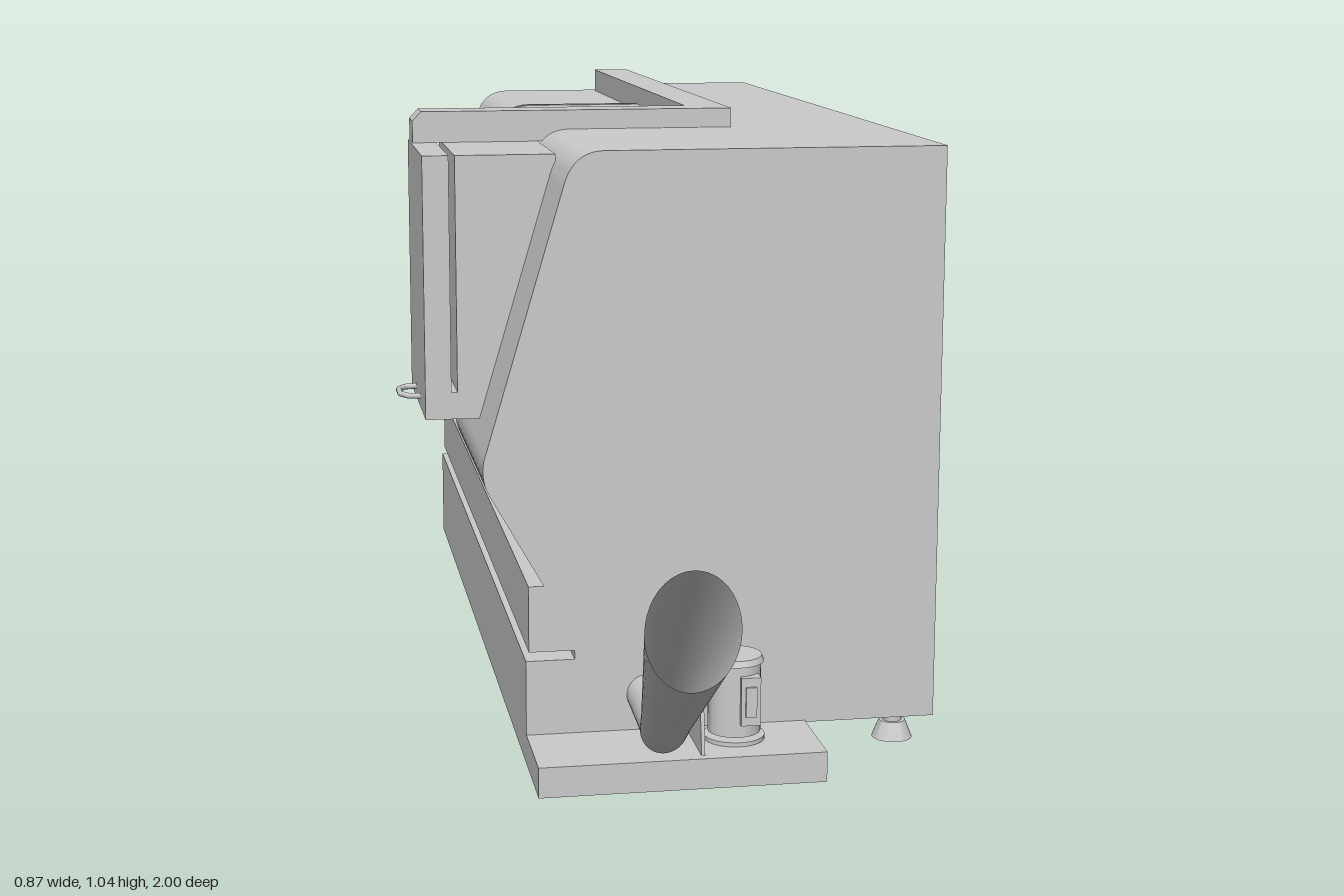
import * as THREE from 'three';
import { toCreasedNormals } from 'three/addons/utils/BufferGeometryUtils.js';

const material = new THREE.MeshStandardMaterial({ color: 0xcccccc, side: THREE.DoubleSide });

export function createModel() {
  const root = new THREE.Group();

  const add = (name, geometry, x = 0, y = 0, z = 0, parent = root) => {
    const mesh = new THREE.Mesh(geometry, material);
    mesh.name = name;
    mesh.position.set(x, y, z);
    parent.add(mesh);
    return mesh;
  };
  // Box given by its limits on each axis
  const box = (name, x0, x1, y0, y1, z0, z1) => add(name,
    new THREE.BoxGeometry(x1 - x0, y1 - y0, z1 - z0), (x0 + x1) / 2, (y0 + y1) / 2, (z0 + z1) / 2);
  const cylinder = (name, rTop, rBottom, y0, y1, x, z, sides = 32) => add(name,
    toCreasedNormals(new THREE.CylinderGeometry(rTop, rBottom, y1 - y0, sides), 0.6), x, (y0 + y1) / 2, z);
  const prism = (name, shape, z0, z1) => add(name, toCreasedNormals(
    new THREE.ExtrudeGeometry(shape, { depth: z1 - z0, bevelEnabled: false, curveSegments: 10 }), 0.5), 0, 0, z0);
  const tube = (name, points, r) => add(name, new THREE.TubeGeometry(
    new THREE.CatmullRomCurve3(points.map((p) => new THREE.Vector3(...p)), false, 'catmullrom', 0.1), 40, r, 10));
  const polygon = (points) => new THREE.Shape(points.map((p) => new THREE.Vector2(...p)));

  // Housing outline; d sets the slanted operator side inwards
  const housing = (d, bottom) => {
    const s = new THREE.Shape(), top = 1.005 - d * 0.5;
    s.moveTo(0.43, bottom);
    s.lineTo(0.43, 1.005);
    if (d > 0) s.lineTo(0.125, 1.005);
    s.lineTo(0.125, top);
    s.lineTo(-0.125 + d, top);
    s.quadraticCurveTo(-0.175 + d, top, -0.19 + d, 0.95);
    s.lineTo(-0.315 + d, 0.53);
    s.quadraticCurveTo(-0.33 + d, 0.49, -0.31 + d, 0.455);
    s.lineTo(-0.225, 0.305);
    s.lineTo(-0.25, 0.305);
    s.lineTo(-0.25, 0.195);
    s.lineTo(-0.175, 0.195);
    s.lineTo(-0.175, bottom);
    s.closePath();
    return s;
  };

  // Main housing, sliding door and front frame
  prism('rearHousing', housing(0.025, 0.155), -0.84, -0.37);
  prism('frontHousing', housing(0.008, 0.052), -0.37, 0.14);
  prism('frontFrame', housing(0, 0.052), 0.14, 0.61);
  const door = housing(0, 0.31);
  prism('doorRim', door, -0.37, -0.355);
  prism('slidingDoor', housing(0.003, 0.31), -0.355, 0.07);

  // Back wall with a recess for the air service unit
  const backWall = housing(0.025, 0.155);
  backWall.holes.push(new THREE.Path([[0.145, 0.28], [0.145, 0.56], [0.335, 0.56], [0.335, 0.28]]
    .map((p) => new THREE.Vector2(...p))));
  prism('backWall', backWall, -0.94, -0.84);
  box('recessCover', 0.15, 0.31, 0.285, 0.41, -0.935, -0.85);
  for (const x of [0.2, 0.25]) {
    cylinder('airRegulator', 0.018, 0.014, 0.41, 0.48, x, -0.89, 16);
    cylinder('regulatorCap', 0.01, 0.01, 0.48, 0.5, x, -0.89, 16);
  }
  const pipe = add('airPipe', new THREE.CylinderGeometry(0.01, 0.01, 0.18, 12), 0.24, 0.46, -0.88);
  pipe.rotation.z = Math.PI / 2;

  // Covers on the back wall
  prism('upperBackCover', polygon([[0.14, 0.78], [0.14, 0.915], [0.125, 0.93], [-0.1, 0.93],
    [-0.125, 0.905], [-0.125, 0.795], [-0.11, 0.78]]), -0.944, -0.94);
  for (const x of [0.143, -0.128]) for (const y of [0.81, 0.9]) box('coverHinge', x - 0.006, x + 0.006, y, y + 0.02, -0.946, -0.94);
  const octagon = add('octagonCover', new THREE.CylinderGeometry(0.103, 0.103, 0.005, 8), -0.01, 0.345, -0.942);
  octagon.rotation.set(Math.PI / 2, Math.PI / 8, 0);
  prism('backHood', polygon([[-0.037, 0.56], [0.09, 0.56], [0.09, 0.62], [0.06, 0.653], [-0.01, 0.653],
    [-0.037, 0.62]]), -1, -0.94);

  // Fittings lying on the slanted side
  const onSlope = (name, geometry, y, z, d) => {
    const mesh = add(name, geometry, -0.19 + d - (0.95 - y) * 0.298, y, z);
    mesh.rotation.z = -0.29;
    return mesh;
  };
  onSlope('switchPlate', new THREE.BoxGeometry(0.012, 0.11, 0.1), 0.715, -0.765, 0.025);
  onSlope('dialPlate', new THREE.BoxGeometry(0.008, 0.065, 0.1), 0.82, -0.765, 0.025);
  for (const z of [-0.79, -0.74]) {
    const dial = new THREE.CylinderGeometry(0.018, 0.018, 0.022, 20).rotateZ(Math.PI / 2);
    onSlope('dial', dial, 0.82, z, 0.025);
  }
  onSlope('doorWindow', new THREE.BoxGeometry(0.01, 0.16, 0.13), 0.765, -0.087, 0.001);
  for (const z of [-0.155, -0.02]) onSlope('windowFrame', new THREE.BoxGeometry(0.016, 0.17, 0.008), 0.765, z, 0.001);
  tube('doorHandle', [[-0.31, 0.525, 0.055], [-0.345, 0.532, 0.055], [-0.352, 0.55, 0.055], [-0.298, 0.73, 0.055],
    [-0.288, 0.742, 0.055], [-0.25, 0.735, 0.055]], 0.009);

  // Overhead cable duct and hanging control cabinet
  box('ductAlongRoof', 0.09, 0.16, 0.992, 1.038, -0.91, 0.21);
  const arm = polygon([[-0.395, 0.985], [0.09, 0.985], [0.09, 1.038], [-0.38, 1.038], [-0.395, 1.022]]);
  prism('ductArm', arm, 0.14, 0.21);
  box('ductFoot', 0.125, 0.155, 0.985, 1.01, -0.94, -0.91);
  box('controlCabinet', -0.345, -0.18, 0.55, 0.985, 0.21, 0.445);
  box('controlPanel', -0.398, -0.355, 0.55, 0.985, 0.14, 0.445);
  box('panelBase', -0.36, -0.34, 0.55, 0.595, 0.21, 0.445);
  box('cabinetHanger', -0.345, -0.2, 0.6, 0.985, 0.15, 0.21);
  tube('panelHandle', [[-0.395, 0.57, 0.25], [-0.418, 0.57, 0.255], [-0.43, 0.57, 0.275], [-0.43, 0.57, 0.315],
    [-0.418, 0.57, 0.335], [-0.395, 0.57, 0.34]], 0.005);

  // Side skirt and coolant tray
  box('skirtPanel', -0.255, -0.245, 0.005, 0.18, -0.94, 0.61);
  box('skirtTop', -0.255, -0.175, 0.172, 0.18, -0.94, 0.61);
  for (const z of [-0.94, 0.602]) box('skirtEnd', -0.255, -0.175, 0.005, 0.18, z, z + 0.008);
  box('coolantTray', -0.255, 0.21, 0.005, 0.055, 0.61, 0.765);

  // Levelling feet
  for (const [x, z] of [[0.375, 0.555], [0.375, -0.885], [-0.21, 0.555], [-0.21, -0.885]]) {
    cylinder('footPad', 0.022, 0.034, 0, 0.03, x, z);
    cylinder('footStem', 0.016, 0.016, 0.03, z < 0 ? 0.17 : 0.06, x, z, 20);
  }

  // Discharge horn lofted through ellipses: z, centre y, half width, half height
  const sections = [[0.6, 0.115, 0.034, 0.034], [0.74, 0.107, 0.035, 0.036], [0.765, 0.11, 0.039, 0.042],
    [0.8, 0.146, 0.043, 0.05], [1, 0.338, 0.073, 0.093]];
  const sides = 40, positions = [], index = [];
  sections.forEach(([z, y, rx, ry], i) => {
    for (let j = 0; j <= sides; j++) {
      const a = (j / sides) * Math.PI * 2;
      positions.push(-0.055 + rx * Math.cos(a), y + ry * Math.sin(a), z);
      if (i && j < sides) {
        const p = (i - 1) * (sides + 1) + j, q = p + sides + 1;
        index.push(p, p + 1, q, p + 1, q + 1, q);
      }
    }
  });
  const horn = new THREE.BufferGeometry();
  horn.setAttribute('position', new THREE.Float32BufferAttribute(positions, 3));
  horn.setIndex(index);
  horn.computeVertexNormals();
  add('dischargeHorn', horn);

  // Splash plate beside the horn
  const plate = new THREE.ExtrudeGeometry(polygon([[-0.61, 0.055], [-0.75, 0.055], [-0.73, 0.18], [-0.61, 0.18]]),
    { depth: 0.006, bevelEnabled: false }).rotateY(Math.PI / 2);
  add('splashPlate', plate, 0.008);

  // Coolant pump
  const px = 0.077, pz = 0.67;
  cylinder('pumpFlange', 0.05, 0.05, 0.055, 0.062, px, pz);
  cylinder('pumpNeck', 0.026, 0.026, 0.06, 0.072, px, pz);
  cylinder('pumpBody', 0.043, 0.043, 0.068, 0.186, px, pz);
  cylinder('pumpCap', 0.044, 0.048, 0.186, 0.196, px, pz);
  box('pumpTerminalBox', 0.078, 0.11, 0.09, 0.17, 0.69, 0.722);
  box('terminalCover', 0.085, 0.103, 0.105, 0.155, 0.722, 0.726);

  return root;
}
